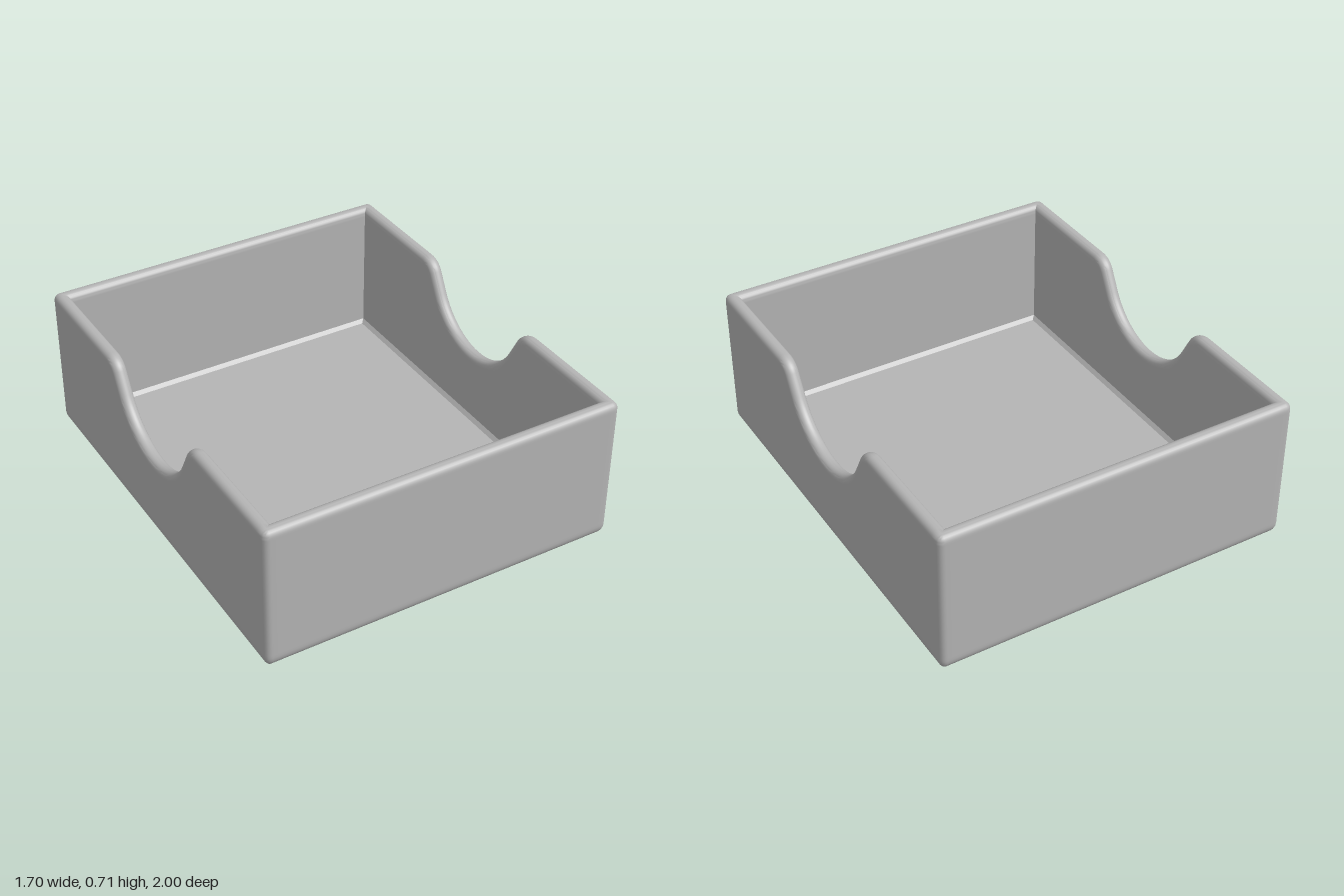
import * as THREE from 'three';
import { toCreasedNormals } from 'three/addons/utils/BufferGeometryUtils.js';

const W = 0.85, L = 1, H = 0.71; // half width, half length, height
const WALL = 0.065, FLOOR = 0.06; // thicknesses
const CORNER = 0.03, RIM = 0.03, FOOT = 0.06; // edge radii

// Half of the scooped top edge of a side wall, from z = 0 outwards: z, y and normal
function scoopHalf() {
  const R = 0.32, cy = 0.717, end = 1.073, r = 0.1, pts = [];
  for (let i = 0; i <= 12; i++) {
    const a = (end * i) / 12;
    pts.push({ z: R * Math.sin(a), y: cy - R * Math.cos(a), nz: -Math.sin(a), ny: Math.cos(a) });
  }
  const last = pts[12];
  const y1 = H - r * (1 - Math.cos(end));
  const z0 = last.z + (y1 - last.y) / Math.tan(end) + r * Math.sin(end);
  for (let i = 0; i <= 8; i++) {
    const a = end * (1 - i / 8);
    pts.push({ z: z0 - r * Math.sin(a), y: H - r + r * Math.cos(a), nz: -Math.sin(a), ny: Math.cos(a) });
  }
  pts.push({ z: 0.94, y: H, nz: 0, ny: 1 });
  return pts;
}

// Stations around the box, counter-clockwise seen from above
function perimeter() {
  const half = scoopHalf();
  const scoop = [...half.slice().reverse(), ...half.slice(1).map(p => ({ ...p, z: -p.z, nz: -p.nz }))];
  const stations = [];
  const signs = [[1, -1], [-1, -1], [-1, 1], [1, 1]];
  signs.forEach(([sx, sz], k) => {
    if (k % 2 === 0) {
      const side = k === 0 ? scoop : scoop.slice().reverse();
      side.forEach(p => stations.push({ ...p, side: sx }));
    } else {
      for (const x of [0.79, -0.79]) stations.push({ x: -sz * x * (k === 1 ? 1 : -1), end: sz, y: H, nz: 0, ny: 1 });
    }
    if (k % 2 === 1) {
      // the end walls run towards -x at the back and +x at the front
      const pair = stations.slice(-2).sort((a, b) => (k === 1 ? b.x - a.x : a.x - b.x));
      stations.splice(-2, 2, ...pair);
    }
    for (let i = 0; i <= 5; i++) {
      const a = (k + i / 5) * Math.PI / 2;
      stations.push({ sx, sz, c: Math.cos(a), s: -Math.sin(a), corner: true, y: H, nz: 0, ny: 1 });
    }
  });
  return stations;
}

// Cross-section of floor and wall, from under the base, over the rim, to the inner floor
function section() {
  const rings = [{ centre: true, y: 0 }, { inset: FOOT + 0.02, y: 0 }];
  const N = 6;
  for (let i = 0; i <= N; i++) {
    const a = (i / N) * Math.PI / 2;
    rings.push({ inset: FOOT * (1 - Math.sin(a)), y: FOOT * (1 - Math.cos(a)) });
  }
  rings.push({ inset: 0, y: FOOT + 0.015 }, { inset: 0, depth: RIM + 0.01 });
  for (let i = 0; i <= N; i++) {
    const a = (i / N) * Math.PI / 2;
    rings.push({ inset: RIM * (1 - Math.cos(a)), depth: RIM * (1 - Math.sin(a)) });
  }
  for (let i = N; i >= 0; i--) {
    const a = (i / N) * Math.PI / 2;
    rings.push({ inset: WALL - RIM * (1 - Math.cos(a)), depth: RIM * (1 - Math.sin(a)) });
  }
  rings.push(
    { inset: WALL, depth: RIM + 0.01 },
    { inset: WALL, y: FLOOR + 0.016 },
    { inset: WALL + 0.017, y: FLOOR },
    { centre: true, y: FLOOR });
  return rings;
}

// Point where a ring of the section meets a station
function place(ring, s) {
  if (ring.centre) return [0, ring.y, 0];
  const d = ring.inset;
  const clamp = (v, m) => Math.max(-m, Math.min(m, v));
  const y = ring.depth === undefined ? ring.y : s.y - s.ny * ring.depth;
  if (s.corner) {
    const r = Math.max(CORNER - d, 0);
    return [s.sx * (W - d - r) + r * s.c, y, s.sz * (L - d - r) + r * s.s];
  }
  if (s.side) {
    const z = s.z - s.nz * (ring.depth || 0);
    return [s.side * (W - d), y, clamp(z, L - d)];
  }
  return [clamp(s.x, W - d), y, s.end * (L - d)];
}

export function createModel() {
  const grey = new THREE.MeshStandardMaterial({ color: 0xb4b4b4 });
  grey.name = 'light grey';

  const stations = perimeter(), rings = section();
  const n = stations.length, position = [], index = [];
  rings.forEach((ring, i) => {
    stations.forEach((s, j) => {
      position.push(...place(ring, s));
      if (i === rings.length - 1) return;
      const a = i * n + j, b = i * n + (j + 1) % n;
      index.push(a, b, b + n, a, b + n, a + n);
    });
  });
  const geometry = new THREE.BufferGeometry();
  geometry.setAttribute('position', new THREE.Float32BufferAttribute(position, 3));
  geometry.setIndex(index);

  const tray = new THREE.Mesh(toCreasedNormals(geometry, 0.5), grey);
  tray.name = 'scoopedTray';
  const group = new THREE.Group();
  group.name = 'openTray';
  group.add(tray);
  return group;
}
